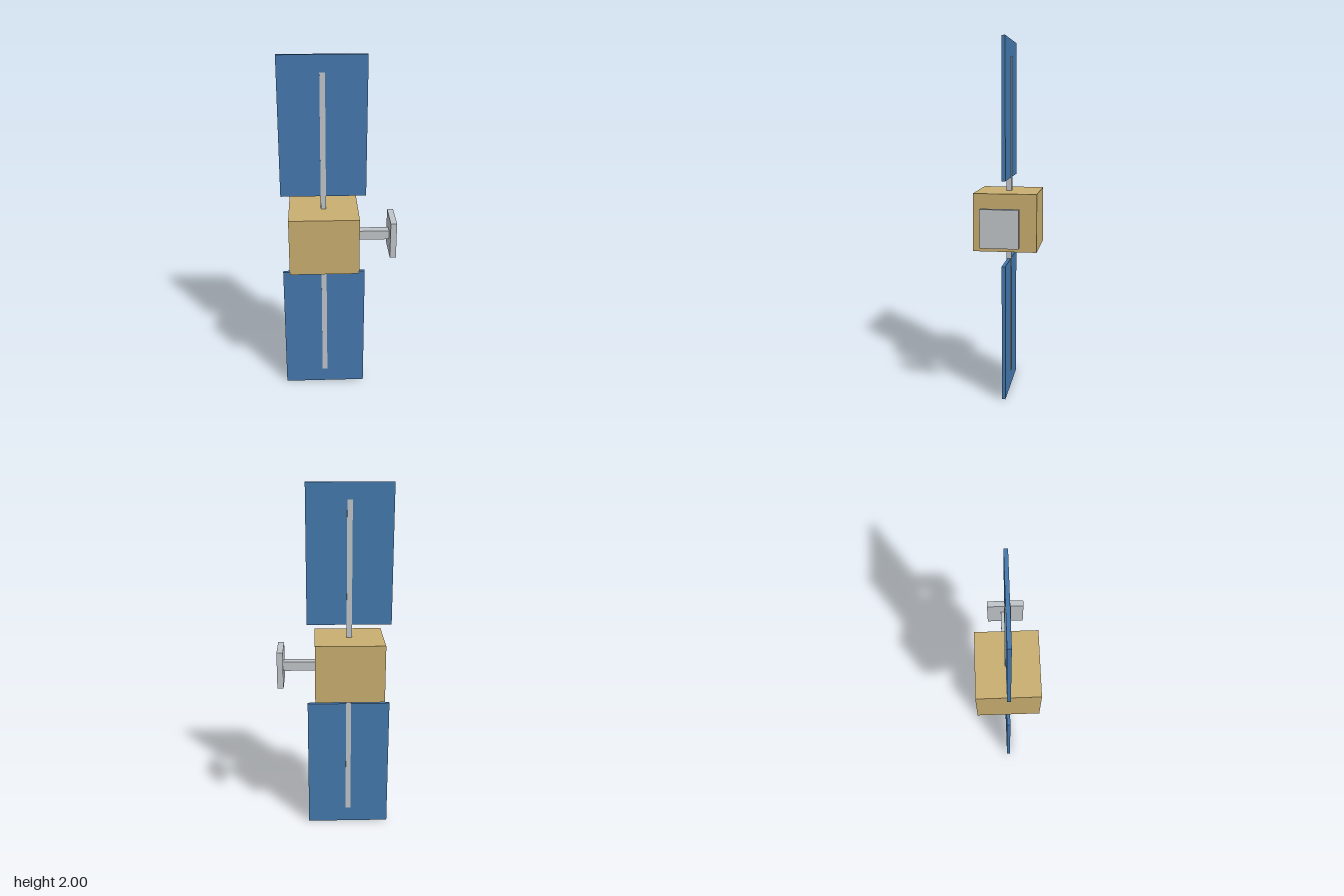
import * as THREE from 'three';

const gold = new THREE.MeshStandardMaterial({ name: 'goldFoil', color: 0xc9ae70 });
const blue = new THREE.MeshStandardMaterial({ name: 'solarBlue', color: 0x4478ad });
const grey = new THREE.MeshStandardMaterial({ name: 'lightGrey', color: 0xc0c5c9 });

const AXIS_X = -0.083; // shared centre line of body, spars and panels
const MID_Y = 1;

function box(name, material, size, position) {
  const mesh = new THREE.Mesh(new THREE.BoxGeometry(...size), material);
  mesh.name = name;
  mesh.position.set(...position);
  return mesh;
}

export function createModel() {
  const model = new THREE.Group();
  model.name = 'satellite';

  // Central body
  model.add(box('body', gold, [0.382, 0.322, 0.353], [AXIS_X, MID_Y, 0]));

  // Mirrored solar wings: a panel with a spar running through it
  for (const [side, s] of [['upper', 1], ['lower', -1]]) {
    const wing = new THREE.Group();
    wing.name = side + 'Wing';
    wing.position.set(AXIS_X, MID_Y, 0);
    wing.add(box(side + 'Panel', blue, [0.47, 0.765, 0.02], [0, s * 0.6175, 0]));
    wing.add(box(side + 'Spar', grey, [0.029, 0.75, 0.029], [0, s * 0.535, 0]));
    model.add(wing);
  }

  // Antenna boom and square plate on the +x side
  const antenna = new THREE.Group();
  antenna.name = 'antenna';
  antenna.add(box('antennaBoom', grey, [0.176, 0.052, 0.052], [0.195, MID_Y, 0]));
  antenna.add(box('antennaPlate', grey, [0.034, 0.206, 0.206], [0.3, MID_Y, 0]));
  model.add(antenna);

  return model;
}
